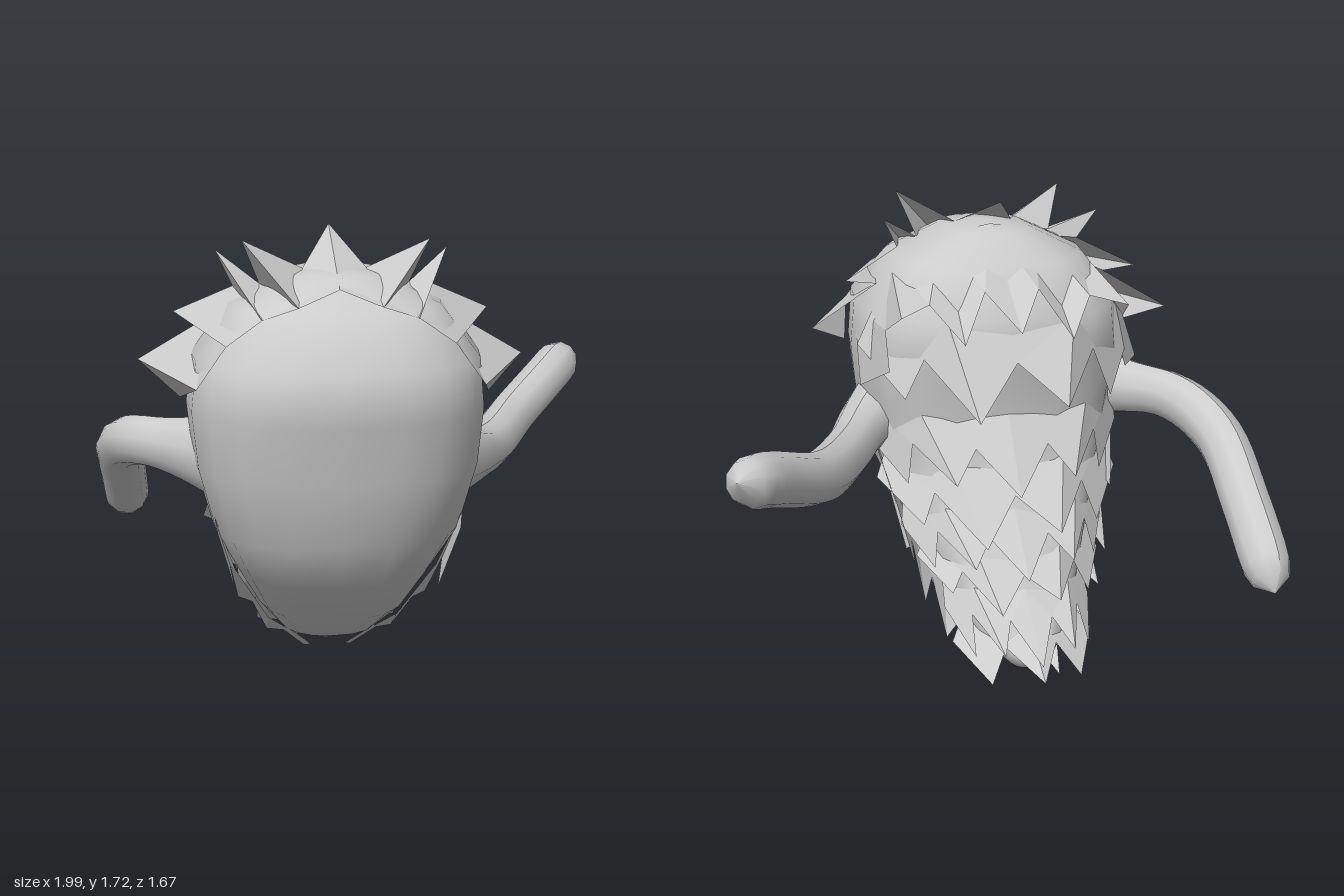
import * as THREE from 'three';

const mat = new THREE.MeshStandardMaterial({ color: 0xcccccc, side: THREE.DoubleSide });
const furMat = new THREE.MeshStandardMaterial({ color: 0xcccccc, side: THREE.DoubleSide, flatShading: true });
const CX = -0.11; // the body's mirror plane
const vec = (x, y, z) => new THREE.Vector3(x, y, z);
const toVecs = (list, s = 1) => list.map(([x, y, z]) => vec(s * x, y, z));

// Body levels: y, back z, front z, half width
const LEVELS = [
  [0.08, -0.4, -0.12, 0.07], [0.14, -0.43, 0.02, 0.14], [0.2, -0.4, 0.18, 0.2],
  [0.35, -0.32, 0.42, 0.28], [0.53, -0.22, 0.6, 0.36], [0.71, -0.1, 0.72, 0.44],
  [0.95, -0.06, 0.77, 0.5], [1.15, -0.13, 0.81, 0.52], [1.33, -0.13, 0.84, 0.5],
  [1.5, 0.0, 0.66, 0.37], [1.6, 0.13, 0.52, 0.16],
];

function levelAt(y) {
  const i = LEVELS.findIndex(l => y <= l[0]), a = LEVELS[i - 1], b = LEVELS[i];
  return a.map((v, k) => THREE.MathUtils.lerp(v, b[k], (y - a[0]) / (b[0] - a[0])));
}

// Point on the body skin: rounded-box section, a = 0 at +x and PI / 2 at the front
function skin([y, zb, zf, w], a) {
  const soft = v => Math.sign(v) * Math.abs(v) ** 0.8;
  return vec(w * soft(Math.cos(a)), y, (zb + zf) / 2 + ((zf - zb) / 2) * soft(Math.sin(a)));
}

function bodyGeometry() {
  const N = 20, pos = [], idx = [];
  for (const level of LEVELS) {
    for (let j = 0; j < N; j++) pos.push(...skin(level, (j / N) * Math.PI * 2).toArray());
  }
  const last = LEVELS.length - 1;
  for (let i = 0; i < last; i++) {
    for (let j = 0; j < N; j++) {
      const k = (j + 1) % N, a = i * N + j, b = i * N + k;
      idx.push(a, a + N, b, b, a + N, b + N);
    }
  }
  const low = pos.length / 3;
  pos.push(0, 0.08, -0.26, 0, 1.62, 0.33);
  for (let j = 0; j < N; j++) {
    const k = (j + 1) % N;
    idx.push(low, j, k, low + 1, last * N + k, last * N + j);
  }
  const g = new THREE.BufferGeometry();
  g.setAttribute('position', new THREE.Float32BufferAttribute(pos, 3));
  g.setIndex(idx);
  g.computeVertexNormals();
  return g;
}

// Jagged sheet of fur: folded points joined side by side, with a notch either side of each tip
function fringe(name, roots, tips, notches) {
  const pts = [];
  roots.forEach((root, i) => {
    pts.push(root, notches[i], tips[i], root, tips[i], notches[i + 1]);
    if (i) pts.push(roots[i - 1], notches[i], root);
  });
  const g = new THREE.BufferGeometry().setFromPoints(pts);
  g.computeVertexNormals();
  const mesh = new THREE.Mesh(g, furMat);
  mesh.name = name;
  return mesh;
}

// Notches partway between neighbouring roots and tips, continued past both ends
function notchesFor(roots, tips, k) {
  const mids = roots.map((r, i) => r.clone().lerp(tips[i], k));
  const n = mids.length - 1;
  const inner = mids.slice(1).map((m, i) => m.clone().lerp(mids[i], 0.5));
  return [mids[0].clone().lerp(mids[1], -0.4), ...inner, mids[n].clone().lerp(mids[n - 1], -0.4)];
}

// Full list from a half list, mirrored; skip = 1 when the first point is on the mirror plane
const mirrored = (half, skip) => [...toVecs(half.slice(skip), -1).reverse(), ...toVecs(half)];

// Tube with a flaring shoulder and a rounded, closed hand end
function arm(name, points) {
  const curve = new THREE.CatmullRomCurve3(toVecs(points));
  const S = 28, R = 10, g = new THREE.TubeGeometry(curve, S, 0.093, R);
  const p = g.attributes.position, v = vec();
  for (let i = 0; i <= S; i++) {
    const t = i / S, c = curve.getPointAt(t);
    const shoulder = 1 + 1.2 * Math.max(0, 1 - t / 0.34) ** 1.5;
    const hand = t > 0.9 ? Math.sqrt(Math.max(0, 1 - ((t - 0.9) / 0.1) ** 2)) : 1;
    for (let j = 0; j <= R; j++) {
      const n = i * (R + 1) + j;
      v.fromBufferAttribute(p, n).sub(c).multiplyScalar(shoulder * hand).add(c);
      p.setXYZ(n, v.x, v.y, v.z);
    }
  }
  g.computeVertexNormals();
  const mesh = new THREE.Mesh(g, mat);
  mesh.name = name;
  return mesh;
}

export function createModel() {
  const model = new THREE.Group();
  model.name = 'spikyCreature';
  const torso = new THREE.Group();
  torso.name = 'torso';
  torso.position.x = CX;
  model.add(torso);

  const body = new THREE.Mesh(bodyGeometry(), mat);
  body.name = 'body';
  torso.add(body);

  // Crown sheets sweeping back from the face: roots, tips, notches
  const crown = (name, roots, tips, notches) =>
    torso.add(fringe(name, mirrored(roots, 1), mirrored(tips, 1), mirrored(notches, 0)));
  crown('frontCrown',
    [[0, 1.57, 0.58], [0.14, 1.52, 0.64], [0.26, 1.48, 0.63], [0.38, 1.4, 0.66], [0.48, 1.26, 0.67]],
    [[0, 1.73, 0.07], [0.32, 1.72, 0.43], [0.41, 1.66, 0.2], [0.56, 1.44, 0.18], [0.69, 1.27, 0.18]],
    [[0.11, 1.61, 0.34], [0.26, 1.56, 0.34], [0.35, 1.54, 0.26], [0.44, 1.42, 0.2], [0.54, 1.17, 0.36]]);
  crown('backCrown',
    [[0, 1.62, 0.22], [0.18, 1.58, 0.26], [0.37, 1.49, 0.32], [0.5, 1.3, 0.36]],
    [[0, 1.32, -0.25], [0.2, 1.28, -0.22], [0.42, 1.38, -0.17], [0.46, 1.18, -0.14]],
    [[0.1, 1.44, -0.1], [0.3, 1.4, -0.08], [0.45, 1.3, -0.02], [0.52, 1.05, 0.14]]);

  // Fur down both flanks: roots, tips
  const flanks = [
    ['sideFur',
      [[0.47, 0.86, 0.26], [0.38, 0.6, 0.22], [0.31, 0.44, 0.18], [0.22, 0.28, 0.08], [0.12, 0.18, -0.02]],
      [[0.42, 0.62, -0.02], [0.37, 0.4, -0.13], [0.34, 0.27, -0.15], [0.27, 0.14, -0.2], [0.13, 0.01, -0.35]]],
    ['frontFur',
      [[0.43, 0.78, 0.52], [0.36, 0.54, 0.38], [0.24, 0.29, 0.2], [0.13, 0.17, 0.06]],
      [[0.36, 0.47, 0.43], [0.35, 0.36, 0.16], [0.24, 0.17, 0.0], [0.09, 0.05, -0.12]]],
  ];
  for (const s of [1, -1]) {
    for (const [name, r, t] of flanks) {
      const roots = toVecs(r, s), tips = toVecs(t, s);
      torso.add(fringe(name, roots, tips, notchesFor(roots, tips, 0.4)));
    }
  }

  // Overlapping sheets down the back: root y, tip y, rearmost tip z, half width, points
  const rows = [
    [1.33, 1.01, -0.33, 0.42, 4], [0.96, 0.7, -0.26, 0.4, 5],
    [0.78, 0.53, -0.34, 0.36, 4], [0.62, 0.42, -0.38, 0.33, 5],
    [0.48, 0.31, -0.44, 0.28, 4], [0.36, 0.17, -0.58, 0.23, 5],
    [0.24, 0.08, -0.61, 0.18, 3],
  ];
  for (const [yr, yt, z, hw, n] of rows) {
    const roots = [], tips = [], level = levelAt(yr);
    for (let i = 0; i < n; i++) {
      const a = ((i / (n - 1)) * 2 - 1) * 1.2;
      tips.push(vec(hw * Math.sin(a), yt + 0.04 * (i % 2), z + hw * 0.95 * (1 - Math.cos(a))));
      roots.push(skin(level, a - Math.PI / 2));
    }
    torso.add(fringe('backFur', roots, tips, notchesFor(roots, tips, 0.45)));
  }

  model.add(arm('leftArm', [
    [0.14, 0.95, 0.47], [0.38, 0.89, 0.18], [0.51, 0.86, -0.08],
    [0.66, 0.9, -0.4], [0.84, 1.0, -0.64], [0.97, 1.07, -0.83],
  ]));
  model.add(arm('rightArm', [
    [-0.36, 0.95, 0.47], [-0.64, 0.95, 0.21], [-0.8, 0.94, 0.05],
    [-0.89, 0.86, -0.2], [-0.9, 0.68, -0.48], [-0.9, 0.46, -0.77],
  ]));
  return model;
}
